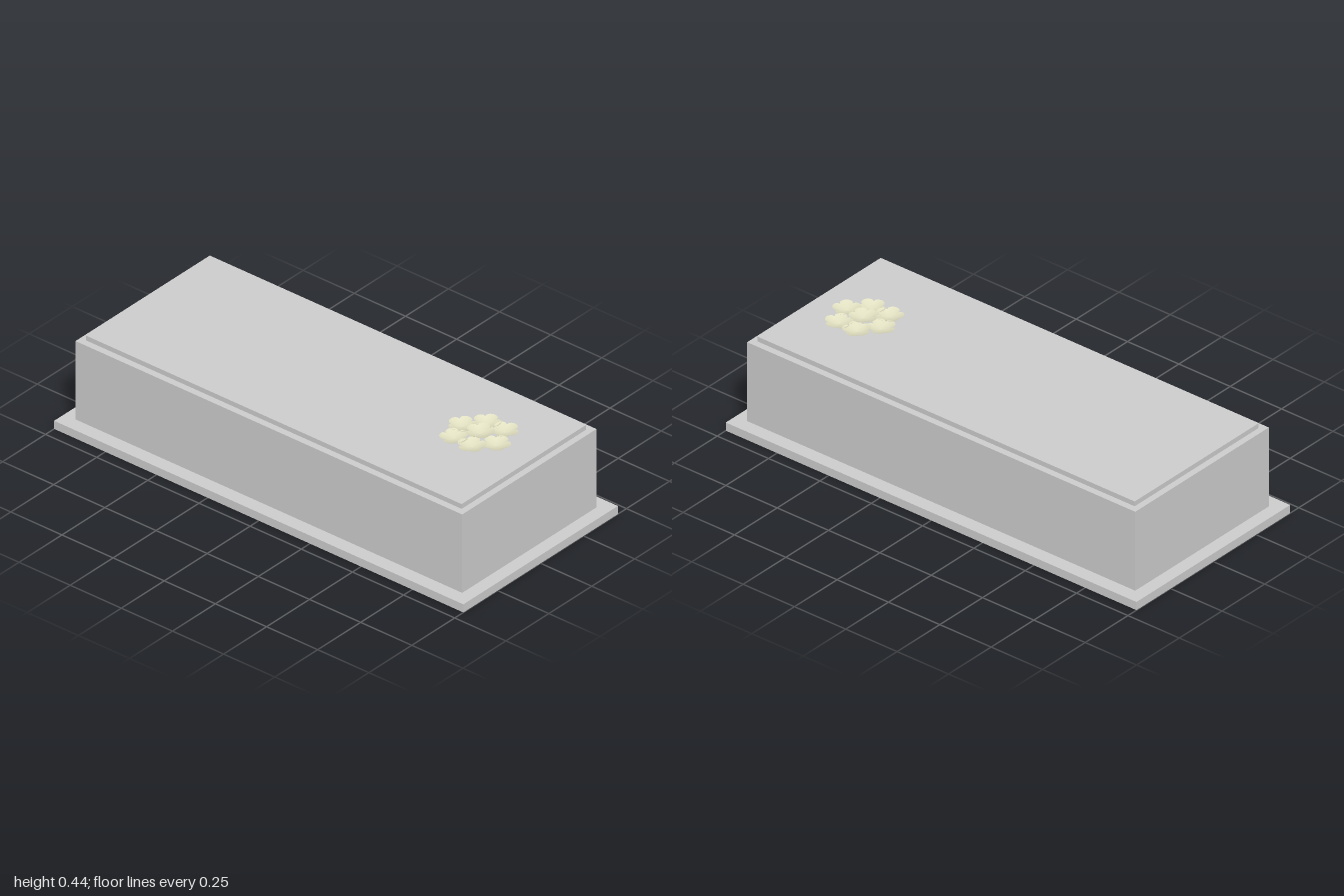
import * as THREE from 'three';

const stone = new THREE.MeshStandardMaterial({ color: 0xcccccc });
const petal = new THREE.MeshStandardMaterial({ color: 0xe0dfc0, side: THREE.DoubleSide });

// Stone block between two heights, given its full width and depth
function slab(name, width, depth, y0, y1) {
  const mesh = new THREE.Mesh(new THREE.BoxGeometry(width, y1 - y0, depth), stone);
  mesh.position.y = (y0 + y1) / 2;
  mesh.name = name;
  return mesh;
}

// Shallow open blossom: a disc pulled into five rounded petals that curl upward
function blossomGeometry(radius, height) {
  const geo = new THREE.RingGeometry(0.001, 1, 50, 4).rotateX(-Math.PI / 2);
  const p = geo.attributes.position;
  for (let i = 0; i < p.count; i++) {
    const t = Math.hypot(p.getX(i), p.getZ(i));
    const a = Math.atan2(p.getZ(i), p.getX(i));
    const lobe = Math.sqrt(Math.abs(Math.cos(2.5 * a)));
    const r = radius * t * (1 - 0.26 * t * (1 - lobe));
    const y = height * (Math.pow(t, 1.6) * (0.75 + 0.25 * lobe));
    p.setXYZ(i, r * Math.cos(a), y, r * Math.sin(a));
  }
  geo.computeVertexNormals();
  return geo;
}

export function createModel() {
  const model = new THREE.Group();
  model.name = 'stoneTomb';

  // Stepped stone body
  model.add(
    slab('basePlinth', 0.9, 2, 0, 0.036),
    slab('tombBody', 0.782, 1.89, 0.036, 0.383),
    slab('lidSlab', 0.724, 1.836, 0.383, 0.404),
  );

  // Posy: six blossoms around a raised middle one (x, y, z, turn)
  const posy = new THREE.Group();
  posy.name = 'flowerPosy';
  const geo = blossomGeometry(0.056, 0.016);
  const spots = [
    [0.035, 0.424, 0.675, 0.3],
    [0.04, 0.414, 0.583, 1.57],
    [-0.045, 0.414, 0.615, 0.9],
    [0.112, 0.414, 0.643, 0.2],
    [-0.047, 0.414, 0.703, 0.5],
    [0.112, 0.414, 0.73, 1.1],
    [0.02, 0.414, 0.768, 0.1],
  ];
  spots.forEach(([x, y, z, turn], i) => {
    const flower = new THREE.Mesh(geo, petal);
    flower.position.set(x, y, z);
    flower.rotation.y = turn;
    flower.name = i ? 'outerBlossom' : 'middleBlossom';
    posy.add(flower);
  });
  model.add(posy);
  return model;
}
